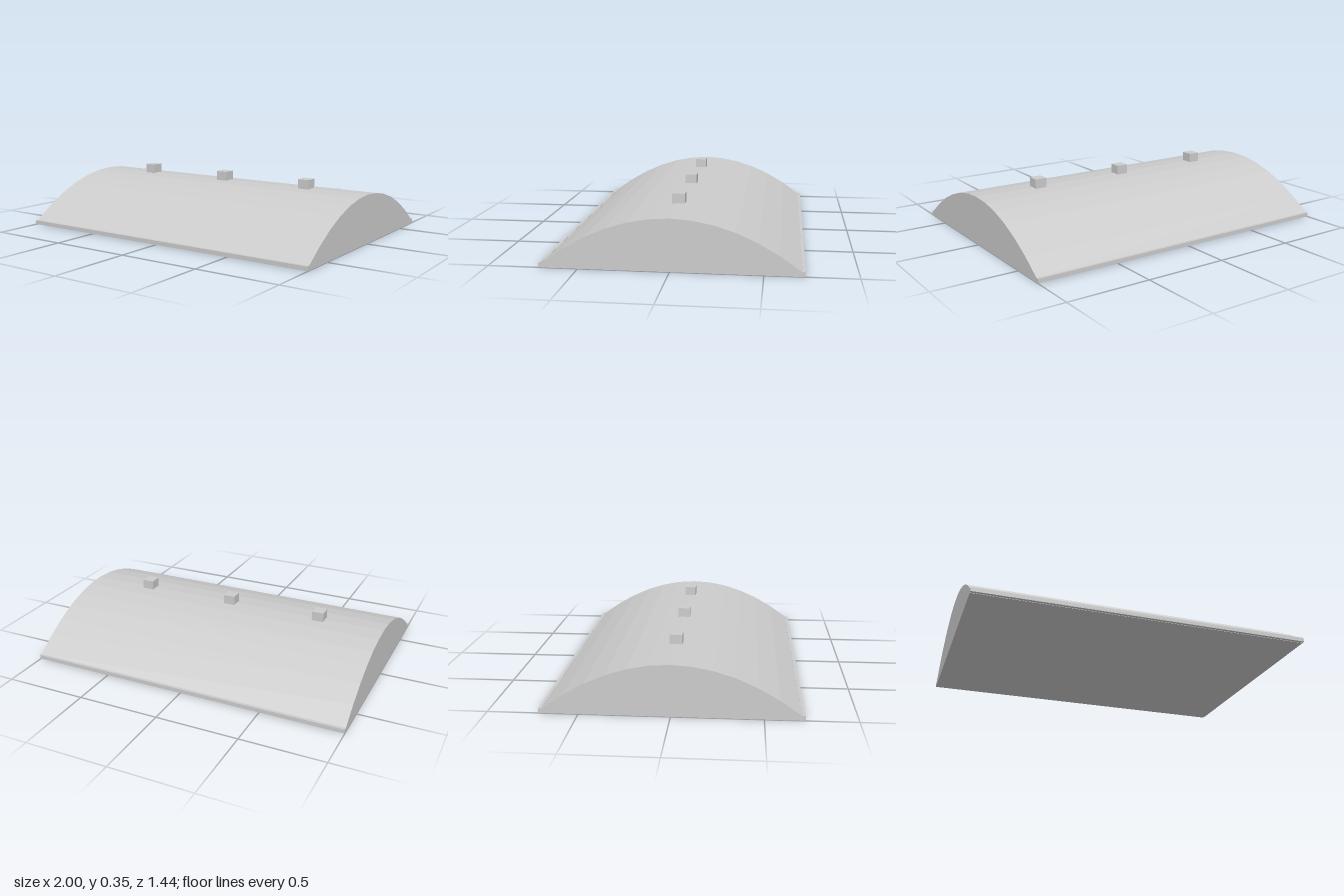
import * as THREE from 'three';

export function createModel() {
  const group = new THREE.Group();
  const grey = new THREE.MeshStandardMaterial({ color: 0xcccccc });
  grey.name = 'light grey';
  grey.flatShading = true;

  const addBox = (name, w, h, d, x, y, z) => {
    const mesh = new THREE.Mesh(new THREE.BoxGeometry(w, h, d), grey);
    mesh.name = name;
    mesh.position.set(x, y, z);
    group.add(mesh);
  };

  // Solid arched roof: parabolic section in twelve facets, swept along x
  const half = 0.7, eave = 0.026, rise = 0.267, segments = 12;
  const section = new THREE.Shape();
  section.moveTo(-half, 0.006);
  section.lineTo(half, 0.006);
  for (let i = 0; i <= segments; i++) {
    const t = 1 - (2 * i) / segments;
    section.lineTo(half * t, eave + rise * (1 - t * t));
  }
  section.closePath();
  const arch = new THREE.ExtrudeGeometry(section, { depth: 2, bevelEnabled: false });
  arch.translate(0, 0, -1).rotateY(Math.PI / 2);
  const roof = new THREE.Mesh(arch, grey);
  roof.name = 'archedRoof';
  group.add(roof);

  // Thin floor plate
  addBox('basePlate', 2, 0.006, 2 * half, 0, 0.003, 0);

  // Edge strips along both eaves
  for (const side of [-1, 1]) {
    addBox(side > 0 ? 'frontEave' : 'backEave', 2, 0.025, 0.018, 0, 0.0145, side * 0.709);
  }

  // Vent blocks on the ridge
  for (const x of [-0.595, 0, 0.595]) {
    addBox('ridgeVent', 0.073, 0.073, 0.073, x, 0.3115, 0);
  }
  return group;
}
